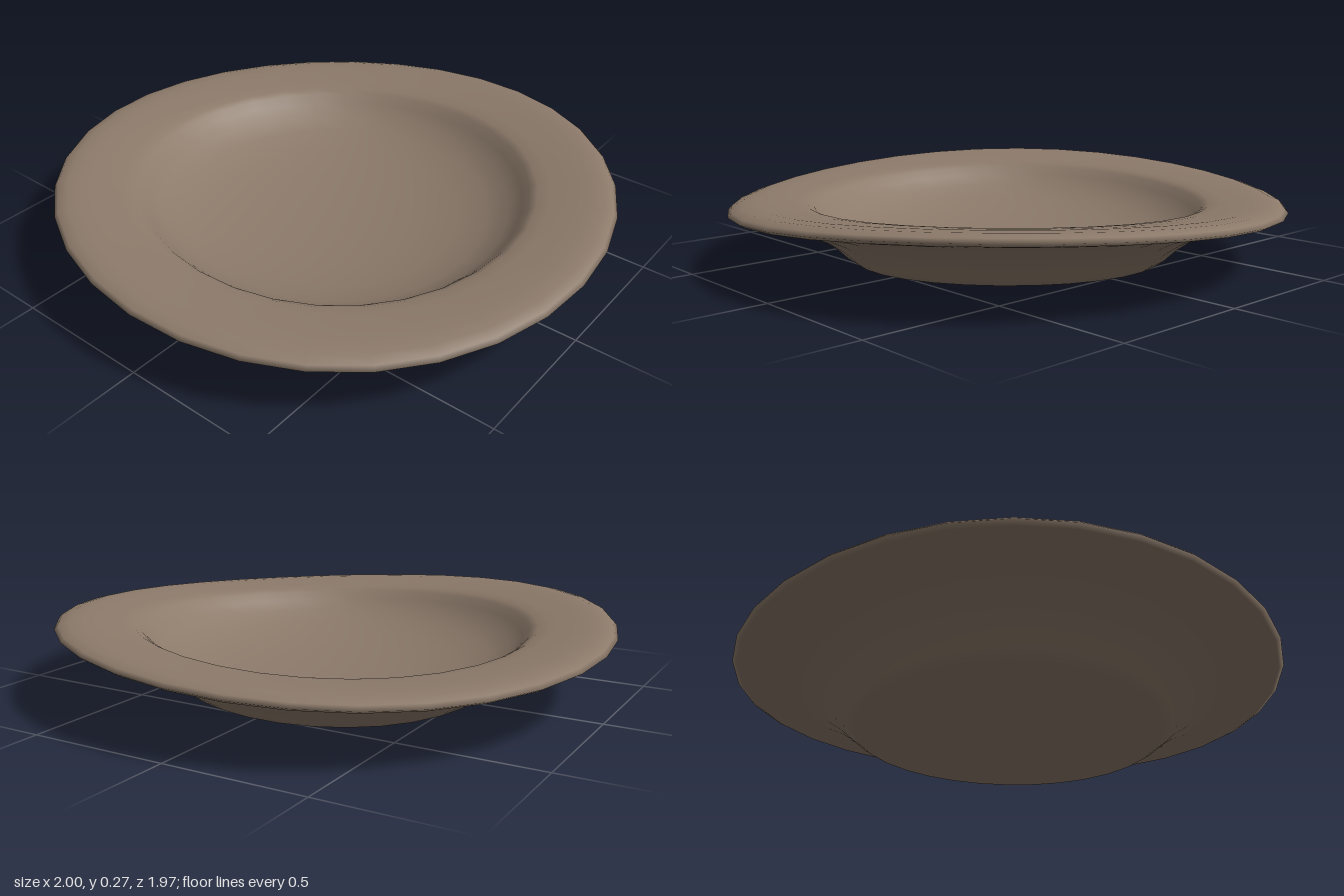
import * as THREE from 'three';
import { mergeVertices } from 'three/addons/utils/BufferGeometryUtils.js';

// Profile from the centre of the base, out round the lip, back to the well
const PROFILE = [
  [0, 0.009], [0.3, 0.009], [0.52, 0.009], [0.565, 0.016], [0.595, 0.038],
  [0.64, 0.082], [0.7, 0.125], [0.77, 0.16], [0.85, 0.187], [0.93, 0.203],
  [0.98, 0.213], [0.998, 0.224], [0.985, 0.238], [0.95, 0.248], [0.9, 0.249],
  [0.84, 0.243], [0.77, 0.235], [0.725, 0.228], [0.7, 0.214], [0.675, 0.186],
  [0.63, 0.147], [0.56, 0.112], [0.45, 0.08], [0.3, 0.058], [0.15, 0.048], [0, 0.045],
];

export function createModel() {
  const clay = new THREE.MeshStandardMaterial({ color: 0x8c7a6a });
  clay.name = 'brown clay';

  // Turned plate with 32 sides
  let geometry = new THREE.LatheGeometry(PROFILE.map(([r, y]) => new THREE.Vector2(r, y)), 32);

  // Hand-made warp: front left and back right lift, the other corners sag
  const p = geometry.attributes.position;
  for (let i = 0; i < p.count; i++) {
    const x = p.getX(i), z = p.getZ(i);
    p.setY(i, p.getY(i) - 0.06 * x * z);
    p.setZ(i, z * 0.988);
  }

  // Weld the seam so the shading is smooth all round
  geometry.deleteAttribute('uv');
  geometry.deleteAttribute('normal');
  geometry = mergeVertices(geometry, 1e-4);
  geometry.computeVertexNormals();

  const plate = new THREE.Mesh(geometry, clay);
  plate.name = 'plate';

  const model = new THREE.Group();
  model.name = 'warpedPlate';
  model.add(plate);
  return model;
}
